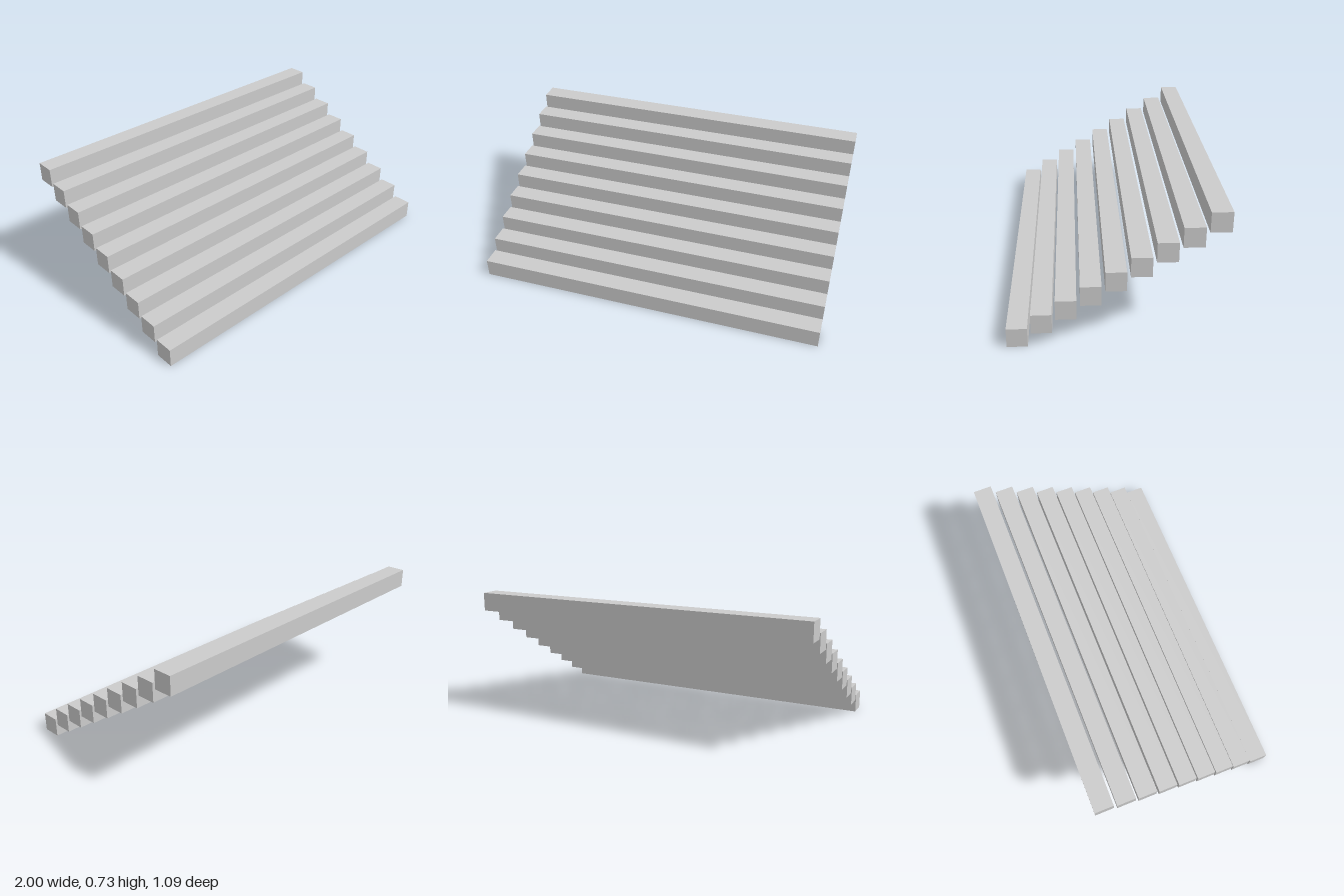
import * as THREE from 'three';

const STEPS = 9;
const LENGTH = 2;
const SIDE = 0.1055;  // square section of each beam
const RISE = 0.0776;  // height gained per step
const RUN = 0.1233;   // depth gained per step

export function createModel() {
  const model = new THREE.Group();
  model.name = 'staircase';
  const material = new THREE.MeshStandardMaterial({ color: 0xcccccc });
  const beam = new THREE.BoxGeometry(LENGTH, SIDE, SIDE);

  // Separate square beams climbing from the front to the back
  for (let i = 0; i < STEPS; i++) {
    const step = new THREE.Mesh(beam, material);
    step.name = `step${i + 1}`;
    step.position.set(0, SIDE / 2 + i * RISE, ((STEPS - 1) / 2 - i) * RUN);
    model.add(step);
  }
  return model;
}
